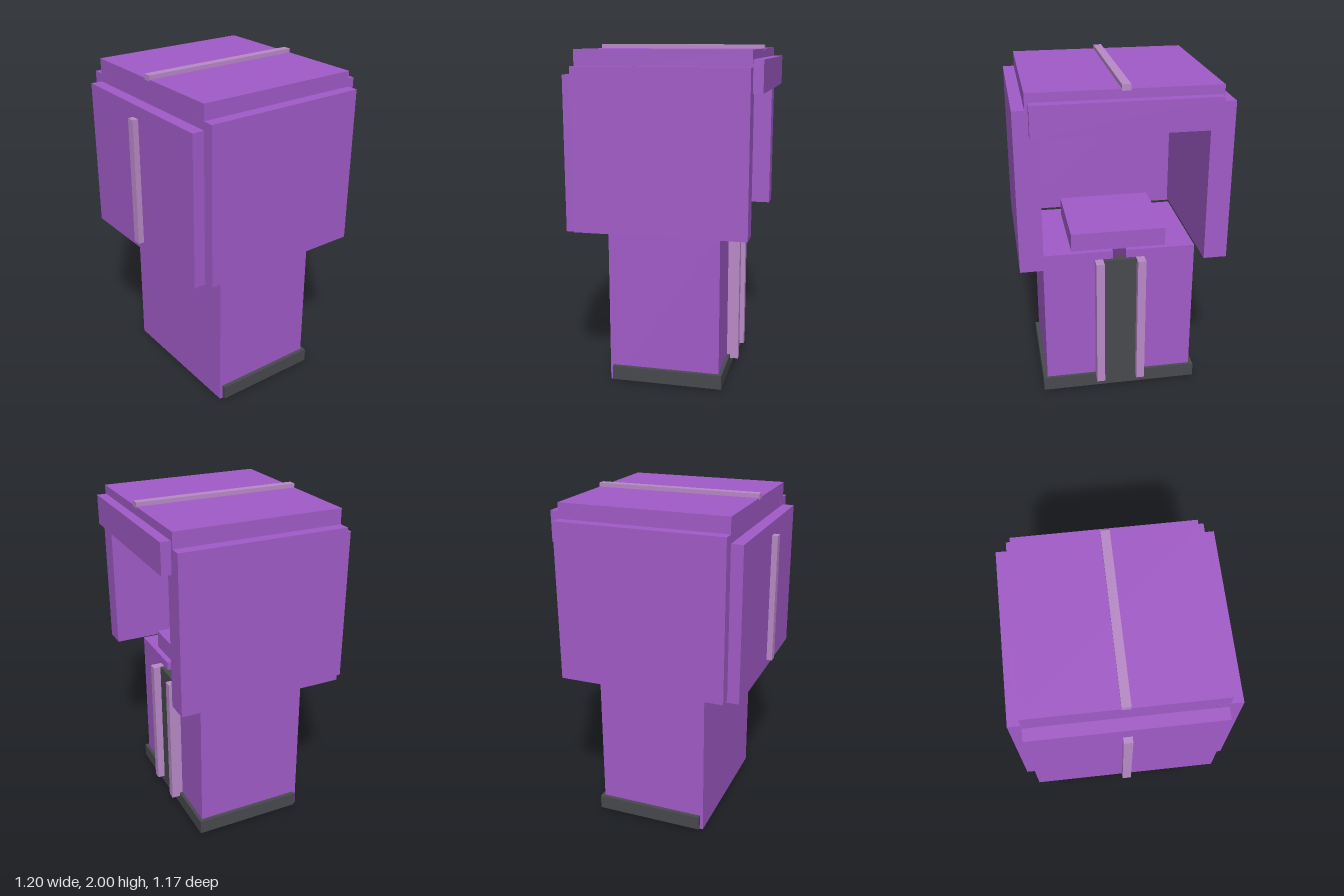
import * as THREE from 'three';

export function createModel() {
  const model = new THREE.Group();
  const purple = new THREE.MeshStandardMaterial({ color: 0xa15bc8 });
  purple.name = 'purple';
  const lilac = new THREE.MeshStandardMaterial({ color: 0xb98ac8 });
  lilac.name = 'lilac';
  const charcoal = new THREE.MeshStandardMaterial({ color: 0x47494e });
  charcoal.name = 'charcoal';

  // Box given by its extents along each axis
  function box(name, material, [x0, x1], [y0, y1], [z0, z1]) {
    const mesh = new THREE.Mesh(new THREE.BoxGeometry(x1 - x0, y1 - y0, z1 - z0), material);
    mesh.position.set((x0 + x1) / 2, (y0 + y1) / 2, (z0 + z1) / 2);
    mesh.name = name;
    model.add(mesh);
  }
  // Mirrored pair across x = 0
  function pair(name, material, [x0, x1], y, z) {
    box(name + 'Left', material, [x0, x1], y, z);
    box(name + 'Right', material, [-x1, -x0], y, z);
  }

  // Lower body: two halves with a narrow slot, closed by a front plate
  pair('bodyHalf', purple, [0.04, 0.457], [0, 0.95], [-0.355, 0.27]);
  box('bodyFront', purple, [-0.457, 0.457], [0, 0.95], [0.27, 0.31]);
  box('baseBand', charcoal, [-0.482, 0.482], [0.01, 0.095], [-0.375, 0.29]);

  // Back closure with its two rails
  box('backPanel', charcoal, [-0.1, 0.1], [0.03, 0.9], [-0.38, -0.33]);
  pair('backRail', lilac, [0.1, 0.15], [0.07, 0.9], [-0.425, -0.34]);

  // Inner platform on top of the body
  box('platform', purple, [-0.285, 0.285], [0.945, 1.06], [-0.32, 0.235]);

  // Hood, open at the back
  pair('hoodSide', purple, [0.465, 0.6], [0.95, 1.885], [-0.53, 0.47]);
  box('hoodFront', purple, [-0.532, 0.532], [0.935, 1.836], [0.375, 0.54]);
  box('hoodTop', purple, [-0.532, 0.532], [1.836, 1.976], [-0.529, 0.469]);
  box('hoodBackBar', purple, [-0.515, 0.515], [1.745, 1.925], [-0.587, -0.46]);

  // Trim strips
  box('topStrip', lilac, [-0.025, 0.025], [1.966, 2], [-0.53, 0.47]);
  box('frontStrip', lilac, [-0.025, 0.025], [1.005, 1.77], [0.553, 0.587]);

  return model;
}
